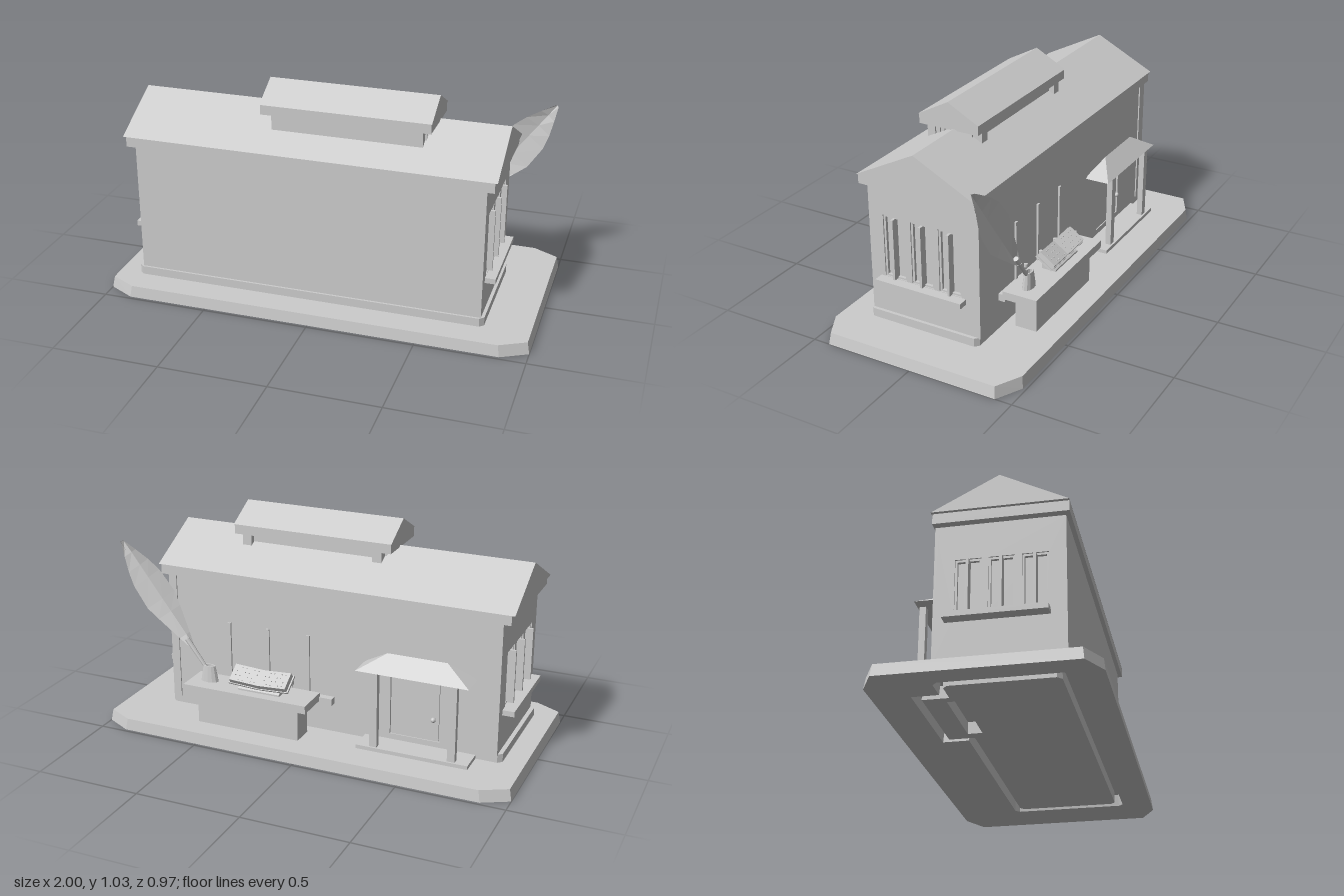
import * as THREE from 'three';

export function createModel() {
  const model = new THREE.Group();
  const stone = new THREE.MeshStandardMaterial({ color: 0xcccccc, flatShading: true });
  stone.name = 'grey stone';

  const add = (name, geometry, parent = model) => {
    const mesh = new THREE.Mesh(geometry, stone);
    mesh.name = name;
    parent.add(mesh);
    return mesh;
  };
  // Box given by its limits on each axis
  const box = (name, x0, x1, y0, y1, z0, z1, parent = model) => {
    const mesh = add(name, new THREE.BoxGeometry(x1 - x0, y1 - y0, z1 - z0), parent);
    mesh.position.set((x0 + x1) / 2, (y0 + y1) / 2, (z0 + z1) / 2);
    return mesh;
  };
  // Move the upper vertices of a geometry by a rule
  const editTop = (geometry, edit) => {
    const p = geometry.attributes.position;
    for (let i = 0; i < p.count; i++) if (p.getY(i) > 0) edit(p, i);
    geometry.computeVertexNormals();
    return geometry;
  };
  // Triangular roof running along x
  const gable = (name, x0, x1, y0, y1, z0, z1) => {
    const shape = new THREE.Shape([
      new THREE.Vector2(-z1, y0), new THREE.Vector2(-z0, y0), new THREE.Vector2(-(z0 + z1) / 2, y1)]);
    const mesh = add(name, new THREE.ExtrudeGeometry(shape, { depth: x1 - x0, bevelEnabled: false }));
    mesh.rotation.y = Math.PI / 2;
    mesh.position.x = x0;
  };
  const rectangle = (Type, x0, x1, y0, y1) => new Type([
    new THREE.Vector2(x0, y0), new THREE.Vector2(x1, y0),
    new THREE.Vector2(x1, y1), new THREE.Vector2(x0, y1)]);
  // Wall facing with openings, outer surface at local z = 0
  const facing = (name, x0, x1, y0, y1, openings, depth, parent) => {
    const shape = rectangle(THREE.Shape, x0, x1, y0, y1);
    openings.forEach(o => shape.holes.push(rectangle(THREE.Path, ...o)));
    add(name, new THREE.ExtrudeGeometry(shape, { depth, bevelEnabled: false }), parent).position.z = -depth;
  };
  // Ground outline in x and z extruded upward
  const ground = points => points.map(([x, z]) => new THREE.Vector2(x, -z));
  const raise = (shape, height) =>
    new THREE.ExtrudeGeometry(shape, { depth: height, bevelEnabled: false }).rotateX(-Math.PI / 2);
  const cutCorners = (x0, x1, z0, z1, cx, cz) => ground([
    [x0, z0 + cz], [x0, z1 - cz], [x0 + cx, z1], [x1 - cx, z1],
    [x1, z1 - cz], [x1, z0 + cz], [x1 - cx, z0], [x0 + cx, z0]]);

  // Base slab with cut corners and a groove below the plinth and porch
  const footprint = d => ground([
    [-0.88 + d, 0.32 - d], [-0.86 + d, 0.34 - d], [0.75 - d, 0.34 - d], [0.77 - d, 0.32 - d],
    [0.77 - d, -0.18 + d], [0.75 - d, -0.2 + d], [-0.25 - d, -0.2 + d], [-0.25 - d, -0.315 + d],
    [-0.76 + d, -0.315 + d], [-0.76 + d, -0.2 + d], [-0.86 + d, -0.2 + d], [-0.88 + d, -0.18 + d]]);
  const slabShape = new THREE.Shape(cutCorners(-0.99, 0.99, -0.478, 0.478, 0.12, 0.063));
  slabShape.holes.push(new THREE.Path(footprint(0)));
  const slab = raise(slabShape, 0.055);
  const sp = slab.attributes.position;
  for (let i = 0; i < sp.count; i++) {
    if (sp.getY(i) < 0.01) sp.setXYZ(i, sp.getX(i) * 1.0101, 0, sp.getZ(i) * 1.014);
  }
  slab.computeVertexNormals();
  add('baseSlab', slab);
  const floorShape = new THREE.Shape(footprint(0.03));
  floorShape.holes.push(rectangle(THREE.Path, -0.69, -0.33, 0.125, 0.19));
  add('floorSlab', raise(floorShape, 0.055));

  // Building core, plinth, cornice and roof
  box('core', -0.85, 0.745, 0.055, 0.715, -0.195, 0.34);
  const plinthShape = new THREE.Shape(cutCorners(-0.89, 0.78, -0.207, 0.35, 0.02, 0.018));
  add('plinth', raise(plinthShape, 0.04)).position.y = 0.055;
  box('cornice', -0.905, 0.8, 0.714, 0.761, -0.218, 0.36);
  gable('mainRoof', -0.92, 0.811, 0.761, 0.91, -0.222, 0.361);

  // End walls with three tall windows each
  for (const side of [1, -1]) {
    const wall = new THREE.Group();
    wall.name = side > 0 ? 'leftEndWall' : 'rightEndWall';
    wall.position.set(side > 0 ? 0.765 : -0.87, 0, 0.0635);
    wall.rotation.y = side * Math.PI / 2;
    model.add(wall);
    const low = side > 0 ? 0.272 : 0.292;
    const high = side > 0 ? 0.572 : 0.552;
    const centres = [-0.14, 0, 0.14].map(c => c - 0.008 * side);
    facing('endFacing', -0.2765, 0.2765, 0.09, 0.715,
      centres.map(c => [c - 0.056, c + 0.056, low, high]), 0.02, wall);
    for (const c of centres) {
      for (const s of [-1, 1]) {
        box('windowFrame', c + s * 0.051 - 0.005, c + s * 0.051 + 0.005, low, high, -0.02, -0.006, wall);
      }
      box('windowHead', c - 0.046, c + 0.046, high - 0.01, high, -0.02, -0.006, wall);
      box('windowFoot', c - 0.046, c + 0.046, low, low + 0.008, -0.02, -0.006, wall);
      box('windowMullion', c - 0.006, c + 0.006, low, high - 0.008, -0.02, side > 0 ? 0.018 : 0.024, wall);
    }
    const y = side > 0 ? 0.245 : 0.268;
    box('windowSill', -0.2265, 0.2085, y, y + 0.025, -0.01, side > 0 ? 0.048 : 0.055, wall);
  }

  // Back wall with a doorway and three slender window bars
  const back = new THREE.Group();
  back.name = 'backWall';
  back.position.z = -0.207;
  back.rotation.y = Math.PI;
  model.add(back);
  facing('backFacing', -0.745, 0.85, 0.09, 0.715, [[0.36, 0.6, 0.1, 0.39]], 0.012, back);
  for (const x of [-0.45, -0.25, -0.045]) box('windowBar', x - 0.008, x + 0.008, 0.23, 0.515, -0.005, 0.009, back);
  box('backSill', -0.6, 0.085, 0.197, 0.231, -0.005, 0.033, back);
  box('cornerPost', -0.765, -0.725, 0.09, 0.715, -0.012, 0.006, back);
  box('cornerPost', 0.82, 0.87, 0.09, 0.715, -0.012, 0.006, back);
  box('door', 0.368, 0.592, 0.09, 0.382, -0.012, -0.005, back);
  const knob = add('doorKnob', new THREE.SphereGeometry(0.012, 10, 8), back);
  knob.position.set(0.57, 0.21, 0.01);
  // Small cups on the sill
  for (const x of [0.12, 0.255, 0.395]) {
    const cup = add('sillCup', new THREE.LatheGeometry([
      [0, 0], [0.005, 0], [0.003, 0.03], [0.009, 0.04], [0.009, 0.055], [0, 0.055],
    ].map(p => new THREE.Vector2(...p)), 8));
    cup.position.set(x, 0.23, -0.229);
  }

  // Porch: step, posts and hipped canopy
  box('porchStep', -0.77, -0.24, 0.055, 0.073, -0.325, -0.2);
  for (const x of [-0.69, -0.32]) box('porchPost', x - 0.018, x + 0.018, 0.073, 0.437, -0.316, -0.288);
  const canopy = add('canopyRoof', editTop(new THREE.BoxGeometry(0.528, 0.075, 0.125), (p, i) => {
    p.setX(i, Math.sign(p.getX(i)) * 0.14);
    p.setZ(i, 0.015);
  }));
  canopy.position.set(-0.499, 0.473, -0.2625);

  // Cupola with windowed ends
  box('cupolaBody', -0.235, 0.44, 0.78, 0.905, -0.02, 0.23);
  for (const [x0, x1, s] of [[-0.245, -0.2, -1], [0.408, 0.453, 1]]) {
    box('cupolaEnd', x0, x1, 0.78, 0.905, -0.046, 0.23);
    const face = s > 0 ? x1 : x0;
    for (const z of [0.165, 0.095, 0.025]) {
      for (const d of [-0.024, 0, 0.024]) {
        box('cupolaMullion', face - 0.008, face + 0.008, 0.83, 0.893, z + d - 0.003, z + d + 0.003);
      }
      box('cupolaWindowHead', face - 0.006, face + 0.006, 0.89, 0.896, z - 0.027, z + 0.027);
    }
  }
  box('cupolaCornice', -0.291, 0.492, 0.901, 0.947, -0.051, 0.246);
  gable('cupolaRoof', -0.294, 0.495, 0.947, 1.028, -0.054, 0.248);

  // Desk
  box('deskBody', 0.03, 0.545, 0.055, 0.215, -0.365, -0.26);
  box('deskTop', -0.022, 0.603, 0.212, 0.25, -0.396, -0.23);

  // Open book tilted toward the back, with rows of raised dots
  const book = new THREE.Group();
  book.name = 'openBook';
  book.position.set(0.235, 0.31, -0.317);
  book.rotation.x = -0.6;
  model.add(book);
  for (const s of [-1, 1]) {
    const page = new THREE.Group();
    page.name = 'pageBlock';
    page.rotation.z = s * 0.1;
    book.add(page);
    const span = (a, b) => s > 0 ? [a, b] : [-b, -a];
    box('bookCover', ...span(0, 0.15), -0.026, -0.018, -0.048, 0.048, page);
    box('pages', ...span(0, 0.143), -0.018, 0.006, -0.044, 0.044, page);
    for (let r = 0; r < 4; r++) {
      for (let c = 0; c < 6; c++) {
        if ((r * 2 + c + (s > 0 ? 1 : 0)) % 3 === 0) continue;
        const dot = add('raisedDot', new THREE.CylinderGeometry(0.0025, 0.003, 0.005, 6), page);
        dot.position.set(s * (0.022 + c * 0.02), 0.0075, -0.032 + r * 0.021);
      }
    }
  }
  const stand = box('bookStand', 0.13, 0.34, 0.248, 0.298, -0.35, -0.28);
  editTop(stand.geometry, (p, i) => p.setY(i, p.getZ(i) > 0 ? 0.035 : -0.015));

  // Oval inkwell
  const inkwell = add('inkwell', new THREE.LatheGeometry([
    [0, 0], [0.025, 0], [0.017, 0.077], [0.012, 0.077], [0.011, 0.05], [0, 0.05],
  ].map(p => new THREE.Vector2(...p)), 12));
  inkwell.position.set(0.51, 0.25, -0.308);
  inkwell.scale.x = 1.8;

  // Quill: tapered shaft and a ridged feather blade
  const quill = new THREE.Group();
  quill.name = 'quill';
  quill.position.set(0.6, 0.41, -0.308);
  quill.rotation.z = -Math.atan2(0.35, 0.47);
  model.add(quill);
  add('quillShaft', new THREE.CylinderGeometry(0.012, 0.008, 0.19, 8), quill).position.y = -0.055;
  const stations = [[0, 0.014], [0.06, 0.034], [0.19, 0.074], [0.26, 0.094], [0.38, 0.088],
    [0.45, 0.068], [0.52, 0.038], [0.586, 0.008]];
  const verts = [];
  const faces = [];
  stations.forEach(([y, w], i) => {
    verts.push(w, y, 0, 0, y, 0.0142, -w, y, 0, 0, y, -0.0142);
    for (let k = 0; k < 4 && i > 0; k++) {
      const a = (i - 1) * 4 + k, b = (i - 1) * 4 + (k + 1) % 4;
      faces.push(a, b, b + 4, a, b + 4, a + 4);
    }
  });
  const end = (stations.length - 1) * 4;
  faces.push(0, 2, 1, 0, 3, 2, end, end + 1, end + 2, end, end + 2, end + 3);
  const blade = new THREE.BufferGeometry();
  blade.setAttribute('position', new THREE.Float32BufferAttribute(verts, 3));
  blade.setIndex(faces);
  blade.computeVertexNormals();
  add('featherBlade', blade, quill);

  return model;
}
